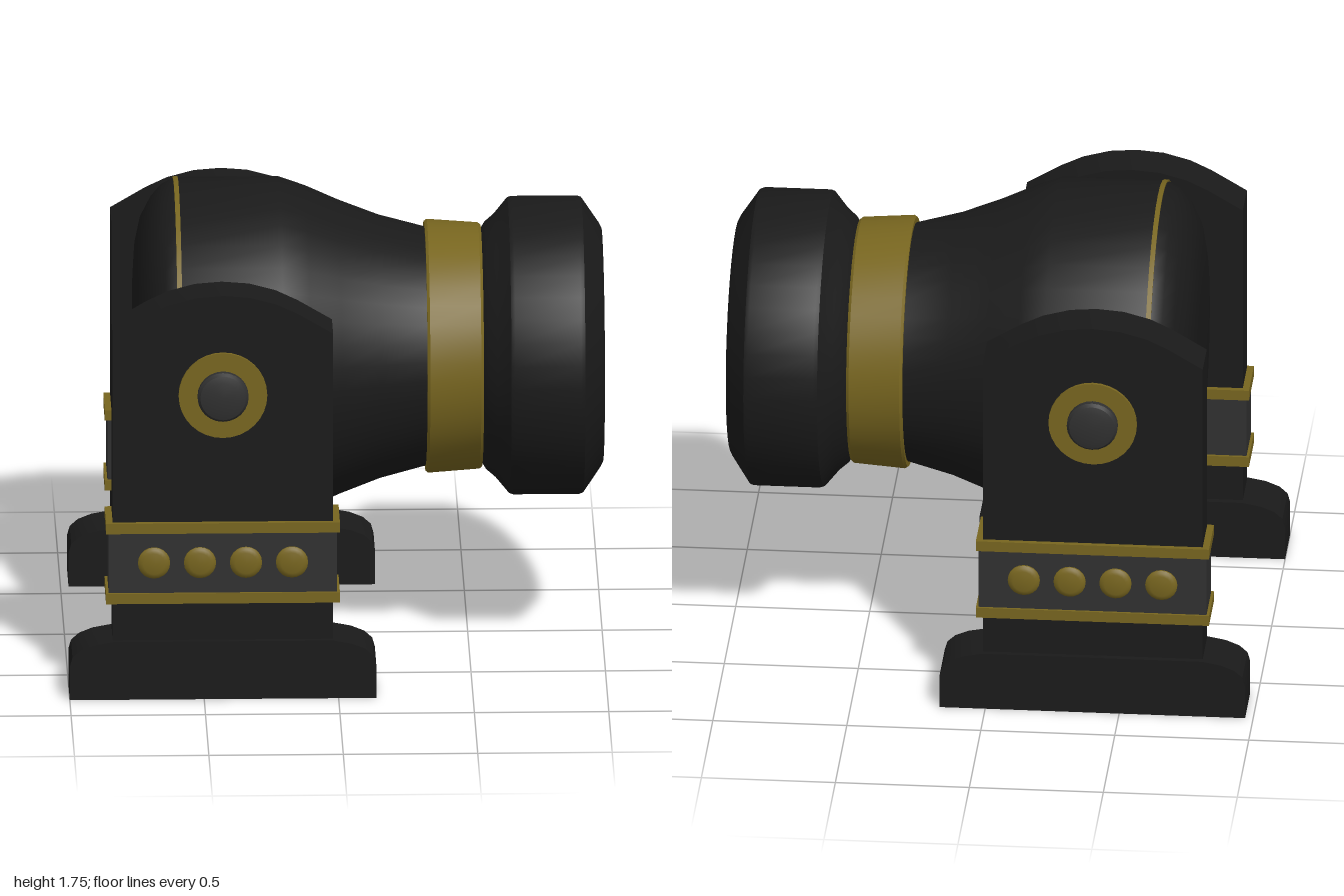
import * as THREE from 'three';
import { toCreasedNormals } from 'three/addons/utils/BufferGeometryUtils.js';

const BLACK = 0x1a1a1a, GREY = 0x303030, GOLD = 0x77651f;
const AXIS_Y = 1.115;

function part(name, geometry, color, parent) {
  const mesh = new THREE.Mesh(geometry, new THREE.MeshStandardMaterial({ color }));
  mesh.name = name;
  parent.add(mesh);
  return mesh;
}

// Profile points are [position along axis, radius], turned around y
function turned(points, segments) {
  const g = new THREE.LatheGeometry(points.map(([a, r]) => new THREE.Vector2(r, a)), segments);
  return toCreasedNormals(g, 0.5);
}

// Outline mirrored in x: the right half is listed from bottom to top
function slab(half, z0, z1) {
  const left = half.filter(([x]) => x > 0).reverse().map(([x, y]) => [-x, y]);
  const shape = new THREE.Shape([...half, ...left].map(([x, y]) => new THREE.Vector2(x, y)));
  const g = new THREE.ExtrudeGeometry(shape, { depth: z1 - z0, bevelEnabled: false });
  return toCreasedNormals(g.translate(0, 0, z0), 0.4);
}

function block(w, y0, y1, z0, z1) {
  return new THREE.BoxGeometry(w, y1 - y0, z1 - z0).translate(0, (y0 + y1) / 2, (z0 + z1) / 2);
}

function createBarrel() {
  const barrel = new THREE.Group();
  barrel.name = 'barrel';

  // Rounded breech, tapering body, flared muzzle and hollow bore
  part('barrelBody', turned([
    [-0.745, 0], [-0.742, 0.3], [-0.735, 0.4], [-0.715, 0.49], [-0.675, 0.565], [-0.635, 0.61], [-0.585, 0.635],
    [-0.2, 0.635], [-0.1, 0.6], [0.02, 0.547], [0.17, 0.49], [0.34, 0.445], [0.55, 0.435],
    [0.565, 0.46], [0.6, 0.49], [0.65, 0.55], [0.665, 0.555], [0.91, 0.555], [0.925, 0.55],
    [0.99, 0.455], [1, 0.435], [1, 0.42], [0.985, 0.405],
    [0.6, 0.39], [0.45, 0.35], [0.3, 0.325], [-0.1, 0.32], [-0.1, 0],
  ], 40), BLACK, barrel);

  // Wide collar behind the muzzle
  part('neckBand', turned([
    [0.34, 0.43], [0.34, 0.465], [0.35, 0.472], [0.54, 0.458], [0.55, 0.45], [0.55, 0.42],
  ], 40), GOLD, barrel);

  // Thin inlay around the breech
  part('breechRing', turned([
    [-0.593, 0.62], [-0.593, 0.637], [-0.575, 0.638], [-0.575, 0.62],
  ], 40), GOLD, barrel);

  barrel.rotation.z = -Math.PI / 2;
  barrel.position.y = AXIS_Y;
  return barrel;
}

// One upright, with its outer face towards +z
function createSupport(name) {
  const support = new THREE.Group();
  support.name = name;

  part('foot', slab([
    [0.57, 0], [0.57, 0.13], [0.56, 0.165], [0.53, 0.192], [0.48, 0.212], [0.41, 0.225],
  ], 0.585, 0.81), BLACK, support);

  part('uprightPlate', slab([
    [0.41, 0.2], [0.41, 1.415], [0.28, 1.492], [0.2, 1.53], [0.1, 1.557], [0, 1.565],
  ], 0.61, 0.787), BLACK, support);

  part('studPanel', block(0.85, 0.39, 0.67, 0.6, 0.797), GREY, support);
  for (const y of [0.372, 0.645]) {
    part('trimBand', block(0.87, y, y + 0.04, 0.588, 0.807), GOLD, support);
  }

  // Row of domed studs
  for (let i = 0; i < 4; i++) {
    const stud = part('stud', turned([
      [0, 0.06], [0.008, 0.06], [0.016, 0.052], [0.02, 0.04], [0.02, 0],
    ], 20), GOLD, support);
    stud.rotation.x = Math.PI / 2;
    stud.position.set((i - 1.5) * 0.171, 0.53, 0.796);
  }

  // Pivot washer and rounded hub
  const washer = part('pivotWasher', turned([
    [0, 0.165], [0.014, 0.165], [0.014, 0],
  ], 32), GOLD, support);
  const hub = part('pivotHub', turned([
    [0, 0.095], [0.035, 0.095], [0.048, 0.085], [0.055, 0.06], [0.056, 0],
  ], 24), GREY, support);
  for (const piece of [washer, hub]) {
    piece.rotation.x = Math.PI / 2;
    piece.position.set(0, 1.18, 0.786);
  }
  return support;
}

export function createModel() {
  const model = new THREE.Group();
  model.name = 'cannon';
  model.add(createBarrel());

  const front = createSupport('frontSupport');
  front.position.x = -0.43;
  const back = createSupport('backSupport');
  back.position.x = -0.4;
  back.rotation.y = Math.PI;
  model.add(front, back);
  return model;
}
